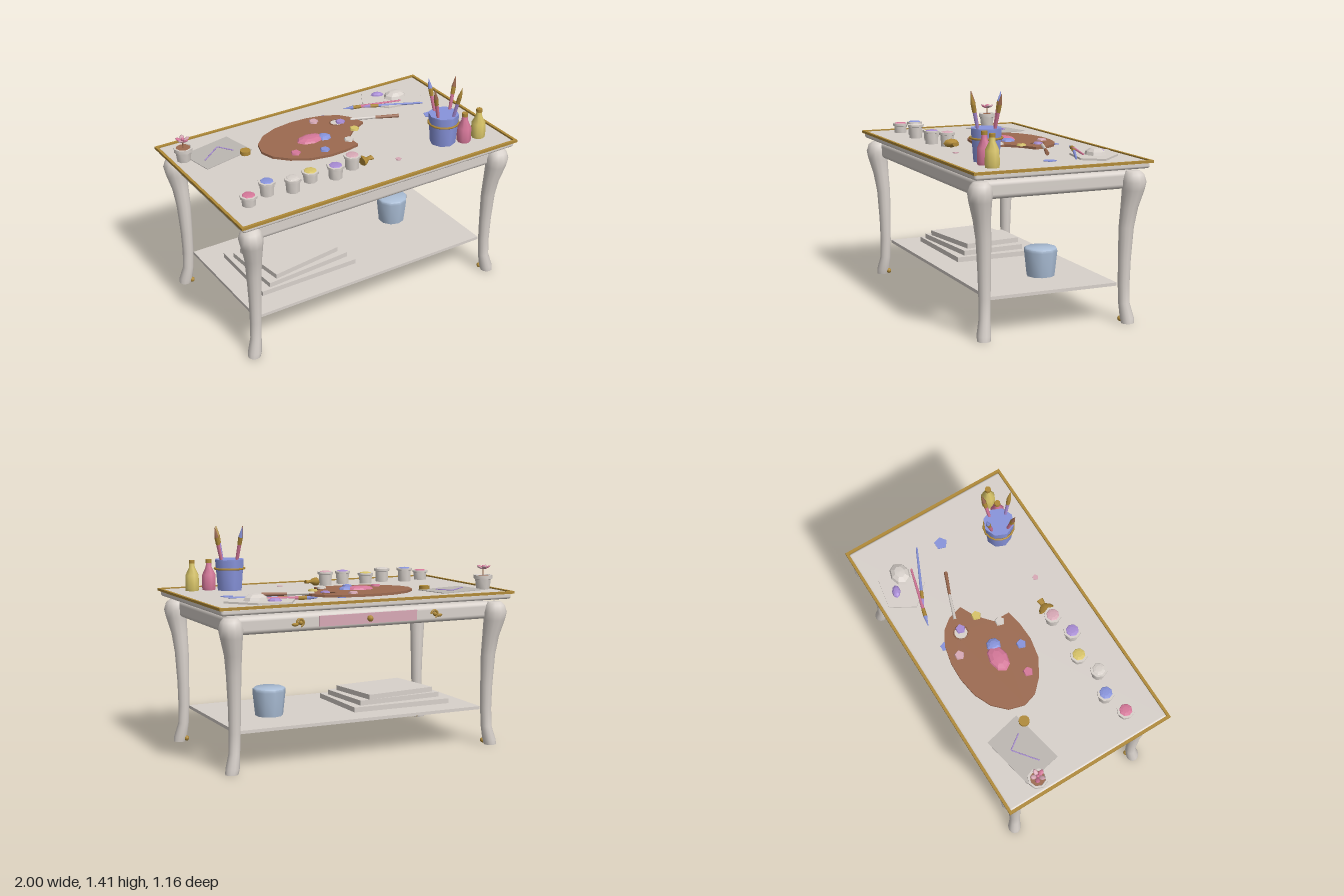
import * as THREE from 'three';
import { toCreasedNormals } from 'three/addons/utils/BufferGeometryUtils.js';
import { RoundedBoxGeometry } from 'three/addons/geometries/RoundedBoxGeometry.js';

const TOP = 1.01; // height of the table surface

export function createModel() {
  const root = new THREE.Group();
  root.name = 'paintingTable';

  const colors = {
    cream: 0xd8d1cb, gold: 0xb08a38, yellow: 0xd8c468, pink: 0xd6789a, blue: 0x8894dc,
    paleBlue: 0xa9bcd4, violet: 0xa88cd4, blush: 0xd8a9b6, brown: 0x9c6a50, grey: 0xbcb7b2,
  };
  const mat = {};
  for (const [name, color] of Object.entries(colors)) {
    mat[name] = new THREE.MeshStandardMaterial({ color });
    mat[name].name = name;
  }

  const add = (name, geo, color, x = 0, y = 0, z = 0, parent = root) => {
    const m = new THREE.Mesh(geo, mat[color]);
    m.name = name;
    m.position.set(x, y, z);
    parent.add(m);
    return m;
  };
  const group = (name, x = 0, y = 0, z = 0) => {
    const g = new THREE.Group();
    g.name = name;
    g.position.set(x, y, z);
    root.add(g);
    return g;
  };
  const box = (w, h, d) => new THREE.BoxGeometry(w, h, d);
  // turned shape from [radius, height] pairs, bottom to top
  const turned = (pts, sides = 8) => toCreasedNormals(
    new THREE.LatheGeometry(pts.map(p => new THREE.Vector2(...p)), sides), 0.9);
  // flat outline given as [x, z] pairs, extruded upward
  const slab = (pts, height, hole) => {
    const s = new THREE.Shape(pts.map(([x, z]) => new THREE.Vector2(x, -z)));
    if (hole) s.holes.push(new THREE.Path().absarc(hole[0], -hole[1], hole[2], 0, Math.PI * 2, true));
    return new THREE.ExtrudeGeometry(s, { depth: height, bevelEnabled: false, curveSegments: 8 }).rotateX(-Math.PI / 2);
  };
  // tapered rod between two points
  const rod = (name, a, b, ra, rb, color, parent, sides = 6) => {
    const va = new THREE.Vector3(...a), vb = new THREE.Vector3(...b);
    const d = vb.clone().sub(va);
    const m = add(name, new THREE.CylinderGeometry(rb, ra, d.length(), sides), color, 0, 0, 0, parent);
    m.position.copy(va).add(vb).multiplyScalar(0.5);
    m.quaternion.setFromUnitVectors(new THREE.Vector3(0, 1, 0), d.normalize());
    return m;
  };
  // brush split into handle, ferrule and bristles
  const brush = (name, a, b, handle, tip, r) => {
    const g = group(name);
    const at = t => a.map((v, i) => v + (b[i] - v) * t);
    rod('handle', a, at(0.7), r * 0.6, r, handle, g);
    rod('ferrule', at(0.7), at(0.83), r * 1.1, r * 1.2, 'gold', g);
    rod('bristles', at(0.83), b, r * 1.2, r * 0.15, tip, g);
  };
  // half-dome blob of paint
  const blob = (name, x, y, z, rx, h, rz, color, sides = 8) => {
    const m = add(name, toCreasedNormals(new THREE.SphereGeometry(1, sides, 3, 0, Math.PI * 2, 0, Math.PI / 2), 0.4), color, x, y, z);
    m.scale.set(rx, h, rz);
    return m;
  };
  const daub = (name, x, y, z, r, color) =>
    add(name, new THREE.CylinderGeometry(r * 0.85, r, 0.012, 5), color, x, y + 0.005, z);

  // table top with gilded rim
  add('tableTop', new RoundedBoxGeometry(1.97, 0.044, 1.13, 3, 0.016), 'cream', 0, 0.988, 0);
  for (const s of [-1, 1]) {
    add('rimLong', box(2, 0.016, 0.018), 'gold', 0, 1.008, s * 0.569);
    add('rimShort', box(0.018, 0.016, 1.156), 'gold', s * 0.991, 1.008, 0);
  }
  add('apron', new RoundedBoxGeometry(1.8, 0.11, 0.98, 3, 0.03), 'cream', 0, 0.89, 0);
  add('shelf', box(1.7, 0.02, 0.85), 'cream', 0, 0.243, 0);

  // curved legs: rows of [height, x, z, radius]
  const rows = [
    [0.945, 0.903, 0.495, 0.043], [0.925, 0.905, 0.498, 0.062], [0.88, 0.905, 0.5, 0.075],
    [0.83, 0.901, 0.498, 0.068], [0.72, 0.886, 0.482, 0.053], [0.6, 0.878, 0.468, 0.046],
    [0.4, 0.873, 0.462, 0.039], [0.25, 0.873, 0.46, 0.036], [0.13, 0.877, 0.462, 0.035],
    [0.04, 0.894, 0.474, 0.043], [0.008, 0.9, 0.476, 0.04],
  ];
  for (const sx of [-1, 1]) for (const sz of [-1, 1]) {
    const geo = new THREE.CylinderGeometry(1, 1, 1, 12, rows.length - 1);
    const p = geo.attributes.position;
    for (let i = 0; i < p.count; i++) {
      const [y, cx, cz, r] = rows[Math.round((0.5 - p.getY(i)) * (rows.length - 1))];
      p.setXYZ(i, sx * cx + p.getX(i) * r, y, sz * cz + p.getZ(i) * r);
    }
    add('leg', toCreasedNormals(geo, 0.9), 'cream');
    add('footOrnament', new THREE.SphereGeometry(0.017, 8, 6), 'gold', sx * 0.864, 0.03, sz * 0.443);
  }

  // drawer and mounts on the back
  add('drawerFront', box(0.67, 0.065, 0.016), 'blush', 0, 0.892, -0.49);
  add('drawerKnob', new THREE.SphereGeometry(0.02, 8, 6), 'gold', 0, 0.892, -0.512);
  for (const s of [-1, 1]) {
    const g = group('apronMount', s * 0.46, 0.892, -0.495);
    add('scroll', new THREE.TorusGeometry(0.022, 0.008, 6, 10, 4.6), 'gold', 0, 0, 0, g);
    add('bead', new THREE.SphereGeometry(0.014, 8, 6), 'gold', 0, 0, -0.006, g);
    add('leaf', new THREE.SphereGeometry(0.016, 6, 4), 'gold', s * 0.032, -0.01, 0, g).scale.set(1.6, 0.7, 0.7);
  }

  // stacked boards and bucket on the shelf
  [[0.69, 0.52, 0, -0.366, 0], [0.6, 0.43, 0.07, -0.365, 0.01], [0.5, 0.39, 0.13, -0.368, 0]]
    .forEach(([w, d, turn, x, z], i) => {
      add('board', box(w, 0.032, d), 'cream', x, 0.271 + i * 0.033, z).rotation.y = turn;
    });
  add('bucket', turned([[0, 0], [0.088, 0], [0.105, 0.155], [0.104, 0.172], [0.094, 0.18], [0, 0.18]], 10),
    'paleBlue', 0.494, 0.254, -0.083);

  // brush pot
  add('brushPot', turned([[0, 0], [0.082, 0], [0.098, 0.19], [0.098, 0.2], [0, 0.2]]), 'blue', 0.592, TOP, 0.326);
  add('potBand', new THREE.TorusGeometry(0.096, 0.007, 6, 16).rotateX(Math.PI / 2), 'gold', 0.592, 1.15, 0.326);
  [[-0.044, -0.115, 'pink', 'blue'], [0.117, -0.048, 'pink', 'brown'],
    [-0.113, 0.049, 'pink', 'brown'], [0.047, 0.116, 'violet', 'gold']].forEach(([dx, dz, handle, tip]) => {
    brush('pottedBrush', [0.592 + dx * 0.25, 1.05, 0.326 + dz * 0.25], [0.592 + dx, 1.417, 0.326 + dz], handle, tip, 0.012);
  });

  // bottles
  for (const [x, color] of [[0.712, 'pink'], [0.826, 'yellow']]) {
    add('bottle', turned([[0, 0], [0.044, 0], [0.047, 0.02], [0.045, 0.1], [0.02, 0.15], [0.017, 0.19], [0, 0.19]]), color, x, TOP, 0.39);
    add('bottleCap', new THREE.CylinderGeometry(0.02, 0.02, 0.022, 8), 'gold', x, 1.196, 0.39);
  }

  // paint jars
  ['pink', 'blue', 'cream', 'yellow', 'violet', 'blush'].forEach((color, i) => {
    const x = -0.832 + i * 0.15, z = i % 2 ? 0.305 : 0.353, h = [0.065, 0.09, 0.09, 0.07, 0.085, 0.09][i];
    add('jar', turned([[0, 0], [0.043, 0], [0.046, h - 0.018], [0.055, h - 0.015], [0.055, h], [0, h]]), 'cream', x, TOP, z);
    blob('jarPaint', x, TOP + h - 0.001, z, 0.042, 0.008, 0.042, color);
  });
  const funnel = add('tippedFunnel', turned([[0, 0], [0.052, 0], [0.045, 0.02], [0.016, 0.045], [0.022, 0.08], [0, 0.08]]),
    'gold', -0.015, TOP + 0.028, 0.305);
  funnel.rotation.z = -Math.PI / 2;
  funnel.scale.x = 0.55;

  // palette with thumb hole and paint
  add('palette', slab([[-0.468, -0.14], [-0.44, -0.24], [-0.36, -0.32], [-0.25, -0.37], [-0.12, -0.39], [0, -0.387],
    [0.12, -0.36], [0.21, -0.31], [0.265, -0.24], [0.293, -0.145], [0.19, -0.095], [0.1, -0.015], [0.1, 0.095],
    [0, 0.115], [-0.12, 0.12], [-0.25, 0.095], [-0.36, 0.03], [-0.44, -0.05]], 0.016, [0.142, -0.23, 0.045]),
  'brown', 0, TOP, 0);
  add('thumbRing', new THREE.TorusGeometry(0.046, 0.005, 5, 10).rotateX(Math.PI / 2), 'brown', 0.142, TOP + 0.016, -0.23);
  for (const [x, z, color] of [[-0.297, -0.01, 'pink'], [-0.12, 0.05, 'blue'], [0.08, 0.016, 'cream'], [0.19, -0.09, 'yellow'],
    [0.165, -0.22, 'violet'], [0.018, -0.315, 'blush']]) daub('paintDaub', x, TOP + 0.016, z, 0.034, color);
  blob('pinkPaint', -0.125, TOP + 0.014, -0.12, 0.098, 0.025, 0.062, 'pink');
  blob('bluePaint', -0.035, TOP + 0.014, -0.1, 0.048, 0.022, 0.048, 'blue');

  // spills on the table
  add('blueSpill', new THREE.CylinderGeometry(0.043, 0.043, 0.004, 5), 'blue', 0.74, TOP + 0.002, -0.02);
  add('pinkSpill', new THREE.CylinderGeometry(0.02, 0.02, 0.004, 5), 'blush', 0.22, TOP + 0.002, 0.37);
  add('backSpill', new THREE.CylinderGeometry(0.03, 0.03, 0.004, 5), 'blue', 0.12, TOP + 0.002, -0.36);

  // palette knife and loose brushes
  const knife = group('paletteKnife');
  rod('blade', [0.24, 1.028, -0.215], [0.41, 1.024, -0.155], 0.011, 0.009, 'cream', knife);
  rod('handle', [0.4, 1.024, -0.158], [0.545, 1.022, -0.1], 0.01, 0.013, 'brown', knife);
  brush('looseBrush', [0.68, 1.024, -0.275], [0.29, 1.02, -0.38], 'pink', 'blue', 0.011);
  brush('looseBrush', [0.79, 1.022, -0.17], [0.4, 1.02, -0.35], 'blue', 'violet', 0.011);

  // faceted tray with two stones
  add('tray', slab([[0.527, -0.525], [0.725, -0.49], [0.88, -0.32], [0.79, -0.2], [0.565, -0.24], [0.44, -0.375]], 0.012),
    'cream', 0, TOP, 0);
  blob('paleStone', 0.687, TOP + 0.01, -0.353, 0.082, 0.045, 0.064, 'cream');
  blob('violetStone', 0.597, TOP + 0.01, -0.433, 0.045, 0.022, 0.028, 'violet').rotation.y = -0.4;

  // sketch sheet with pencil strokes and a weight
  add('sketchSheet', slab([[-0.895, -0.39], [-0.55, -0.46], [-0.495, -0.22], [-0.847, -0.144]], 0.004), 'grey', 0, TOP, 0);
  const sketch = group('sketchStrokes');
  rod('stroke', [-0.81, 1.016, -0.25], [-0.666, 1.016, -0.364], 0.004, 0.004, 'violet', sketch);
  rod('stroke', [-0.666, 1.016, -0.364], [-0.6, 1.016, -0.27], 0.004, 0.004, 'violet', sketch);
  add('sheetWeight', new THREE.CylinderGeometry(0.034, 0.034, 0.025, 10), 'gold', -0.553, TOP + 0.0125, -0.2);

  // flower pot
  const pot = group('flowerPot', -0.915, TOP, -0.333);
  add('potBody', turned([[0, 0], [0.044, 0], [0.053, 0.065], [0.062, 0.068], [0.062, 0.092], [0.05, 0.092], [0.045, 0.082], [0, 0.082]]),
    'cream', 0, 0, 0, pot);
  add('soil', new THREE.CylinderGeometry(0.047, 0.047, 0.004, 8), 'brown', 0, 0.085, 0, pot);
  rod('stem', [0, 0.085, 0], [0, 0.135, 0], 0.004, 0.004, 'brown', pot);
  for (let i = 0; i < 5; i++) {
    const a = i / 5 * Math.PI * 2;
    const petal = add('petal', new THREE.SphereGeometry(1, 6, 4), i % 2 ? 'pink' : 'blush',
      Math.cos(a) * 0.026, 0.142, Math.sin(a) * 0.026, pot);
    petal.scale.set(0.024, 0.007, 0.016);
    petal.rotation.set(0, -a, 0.5);
  }
  add('flowerHeart', new THREE.SphereGeometry(0.012, 6, 4), 'pink', 0, 0.145, 0, pot);

  return root;
}
